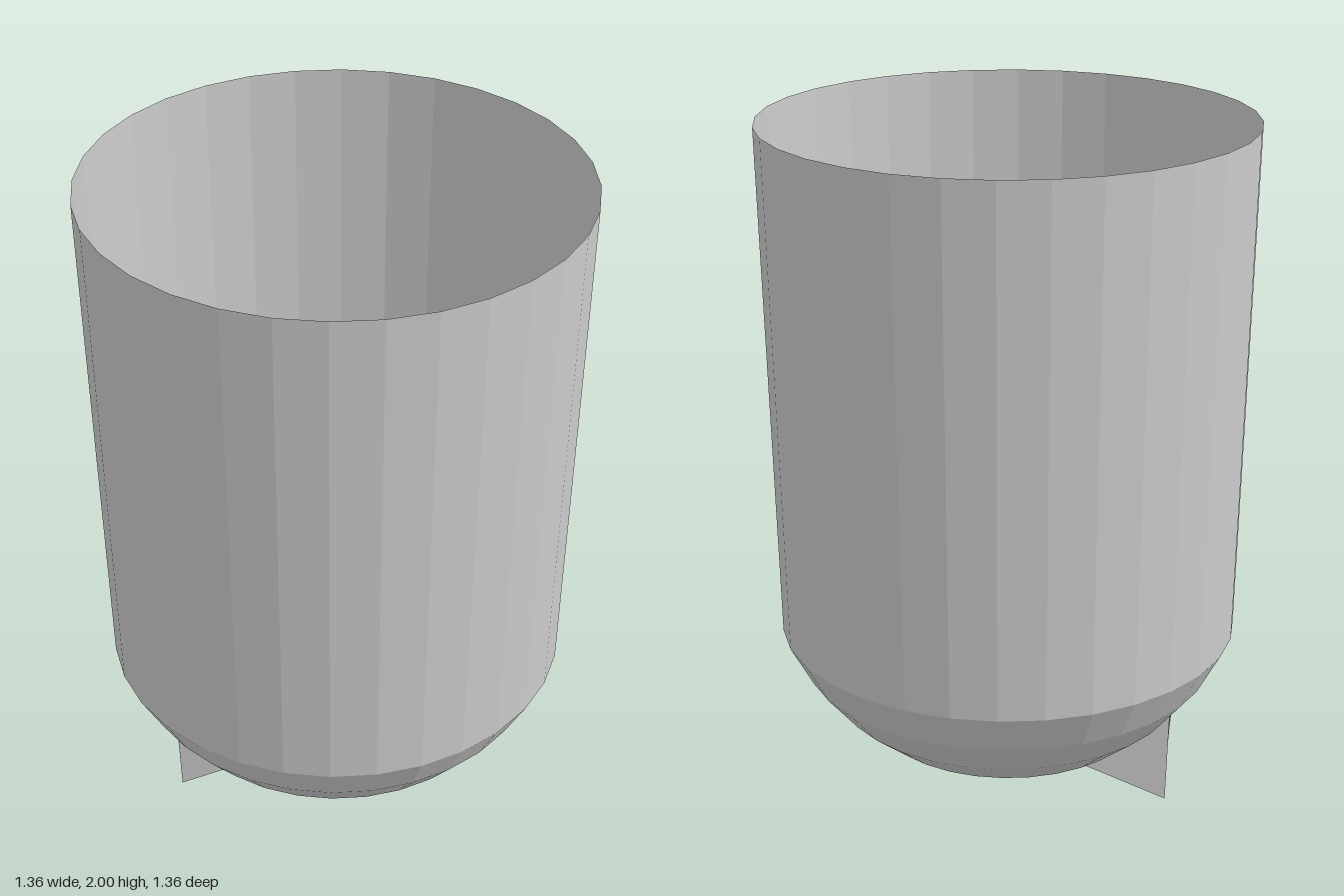
import * as THREE from 'three';

const SIDES = 32;
const material = new THREE.MeshStandardMaterial({ color: 0xcccccc, flatShading: true, side: THREE.DoubleSide });

// Bowl profile: a spherical cap, from the bottom pole to the wall
const bowlProfile = [];
for (let i = 0; i <= 6; i++) {
  const a = i * Math.PI / 16;
  bowlProfile.push(new THREE.Vector2(0.707 * Math.sin(a), 0.807 - 0.707 * Math.cos(a)));
}

// Height of the faceted bowl above a plan position
function bowlHeight(x, z) {
  const step = 2 * Math.PI / SIDES;
  const angle = Math.atan2(x, z);
  const off = angle - (Math.floor(angle / step) + 0.5) * step;
  const r = Math.hypot(x, z) * Math.cos(off) / Math.cos(step / 2);
  let i = 0;
  while (i < 5 && bowlProfile[i + 1].x < r) i++;
  const p = bowlProfile[i], q = bowlProfile[i + 1];
  return p.y + (q.y - p.y) * (r - p.x) / (q.x - p.x);
}

// Chute edges across its width, u from -1 to 1
const HALF = 0.147, STRIPS = 10;
const outerTop = u => {
  const x = -0.487 + 0.014 * u * u, z = HALF * u;
  return new THREE.Vector3(x, bowlHeight(x, z), z);
};
const outerBottom = u => new THREE.Vector3(-0.4545 - 0.011 * u * u, 0.022 * u * u, HALF * u);
const innerEdge = u => {
  const x = -0.178 - 0.011 * u * u, z = HALF * u;
  return new THREE.Vector3(x, bowlHeight(x, z), z);
};

// Mesh from a list of convex polygons
function polygonMesh(name, polygons) {
  const points = [];
  const area = new THREE.Triangle();
  for (const poly of polygons) {
    for (let i = 1; i < poly.length - 1; i++) {
      const tri = [poly[0], poly[i], poly[i + 1]];
      if (area.set(...tri).getArea() > 1e-8) points.push(...tri);
    }
  }
  const geometry = new THREE.BufferGeometry().setFromPoints(points);
  geometry.computeVertexNormals();
  const mesh = new THREE.Mesh(geometry, material);
  mesh.name = name;
  return mesh;
}

// Strips of quads between two edge curves
function strips(edgeA, edgeB, from, to, count) {
  const quads = [];
  for (let i = 0; i < count; i++) {
    const s = from + (to - from) * i / count, t = from + (to - from) * (i + 1) / count;
    quads.push([edgeA(s), edgeA(t), edgeB(t), edgeB(s)]);
  }
  return quads;
}

// Part of a polygon on one side of the upright plane through a and b
function clip(poly, a, b, sign) {
  const side = p => sign * ((b.x - a.x) * (p.z - a.z) - (b.z - a.z) * (p.x - a.x));
  const out = [];
  poly.forEach((p, i) => {
    const q = poly[(i + 1) % poly.length];
    const sp = side(p), sq = side(q);
    if (sp >= 0) out.push(p);
    if ((sp > 0 && sq < 0) || (sp < 0 && sq > 0)) out.push(p.clone().lerp(q, sp / (sp - sq)));
  });
  return out;
}

// Bowl facets with the chute opening cut out of them
function bowlWithOpening() {
  const us = Array.from({ length: STRIPS + 1 }, (_, i) => -1 + 2 * i / STRIPS);
  const outline = [...us.map(outerTop), ...us.map(innerEdge).reverse()];
  const pos = new THREE.LatheGeometry(bowlProfile, SIDES).toNonIndexed().attributes.position;
  const polygons = [];
  for (let i = 0; i < pos.count; i += 3) {
    const triangle = [0, 1, 2].map(k => new THREE.Vector3().fromBufferAttribute(pos, i + k));
    let rest = triangle;
    const kept = [];
    outline.forEach((a, k) => {
      const b = outline[(k + 1) % outline.length];
      if (rest.length < 3) return;
      kept.push(clip(rest, a, b, 1));
      rest = clip(rest, a, b, -1);
    });
    // Facets clear of the opening stay whole
    polygons.push(...(rest.length < 3 ? [triangle] : kept.filter(p => p.length > 2)));
  }
  return polygonMesh('bowlBottom', polygons);
}

export function createModel() {
  const model = new THREE.Group();
  model.name = 'hopper';

  // Slightly tapered open wall
  const wall = new THREE.Mesh(
    new THREE.LatheGeometry([bowlProfile[6], new THREE.Vector2(0.68, 2)], SIDES), material);
  wall.name = 'wall';
  model.add(wall, bowlWithOpening());

  // Discharge chute: rounded floor, end wall and two flat cheeks
  const chute = new THREE.Group();
  chute.name = 'chute';
  chute.add(polygonMesh('chuteFloor', strips(outerBottom, innerEdge, -1, 1, STRIPS)));
  chute.add(polygonMesh('chuteEnd', strips(outerTop, outerBottom, -1, 1, STRIPS)));
  for (const u of [-1, 1]) {
    const top = t => {
      const p = outerTop(u).lerp(innerEdge(u), t);
      p.y = bowlHeight(p.x, p.z);
      return p;
    };
    const bottom = t => outerBottom(u).lerp(innerEdge(u), t);
    chute.add(polygonMesh(u > 0 ? 'chuteFrontSide' : 'chuteBackSide', strips(top, bottom, 0, 1, 12)));
  }
  model.add(chute);
  return model;
}
